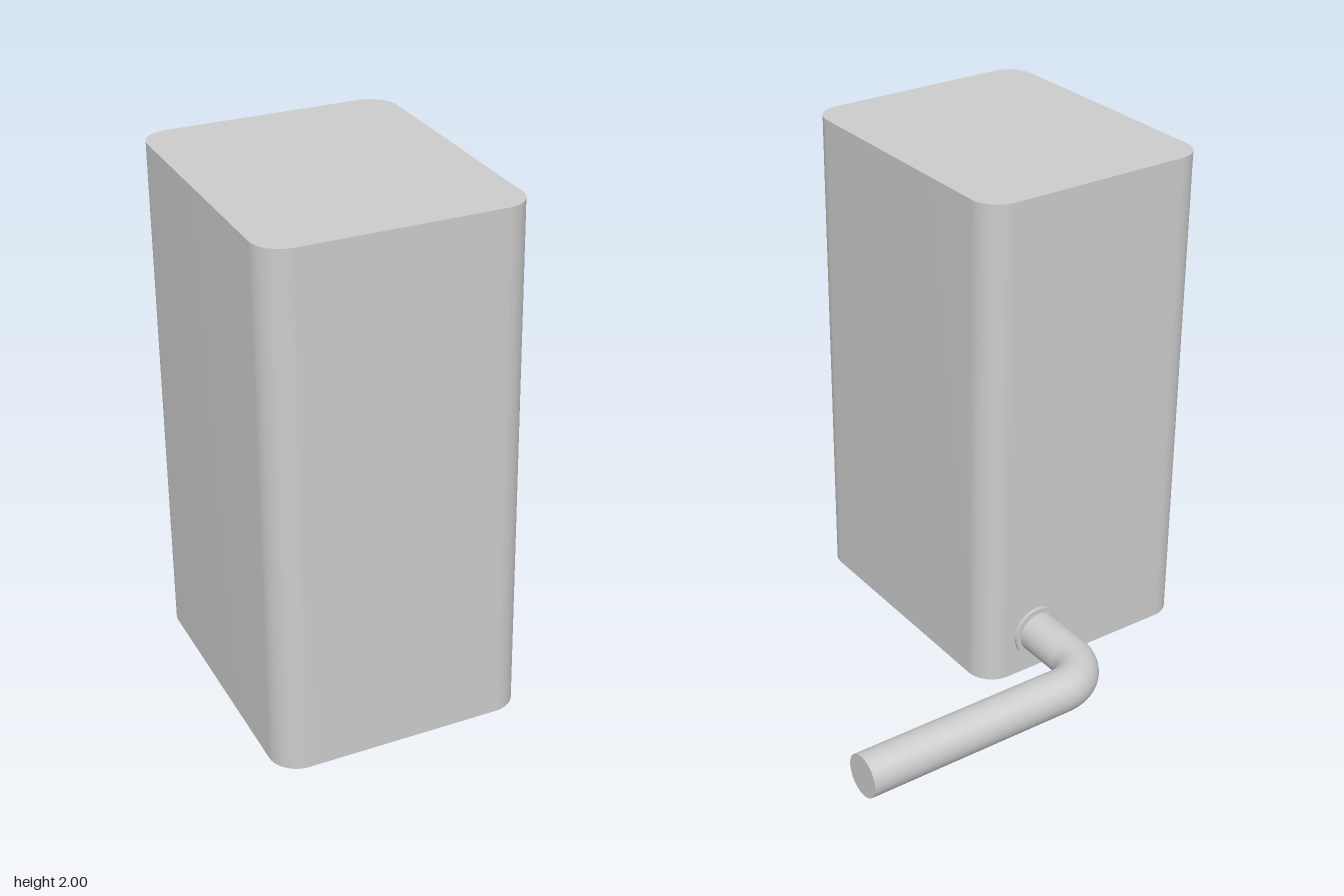
import * as THREE from 'three';
import { toCreasedNormals } from 'three/addons/utils/BufferGeometryUtils.js';

const material = new THREE.MeshStandardMaterial({ color: 0xcccccc });

// Body footprint and height
const LEFT = -0.876, RIGHT = 0.09, BACK = -0.365, FRONT = 0.812, HEIGHT = 2, CORNER = 0.11;
// Pipe: radius, height of its axis, bend radius, axis positions and end
const PIPE_R = 0.083, PIPE_Y = 0.17, BEND_R = 0.16, OUTLET_X = -0.155, RUN_Z = -0.732, END_X = 0.876;

function addMesh(group, name, geometry) {
  const mesh = new THREE.Mesh(geometry, material);
  mesh.name = name;
  group.add(mesh);
  return mesh;
}

function roundedRect(x0, y0, x1, y1, r) {
  const s = new THREE.Shape();
  s.moveTo(x0 + r, y0);
  s.lineTo(x1 - r, y0);
  s.absarc(x1 - r, y0 + r, r, -Math.PI / 2, 0);
  s.lineTo(x1, y1 - r);
  s.absarc(x1 - r, y1 - r, r, 0, Math.PI / 2);
  s.lineTo(x0 + r, y1);
  s.absarc(x0 + r, y1 - r, r, Math.PI / 2, Math.PI);
  s.lineTo(x0, y0 + r);
  s.absarc(x0 + r, y0 + r, r, Math.PI, Math.PI * 1.5);
  return s;
}

// Cylinder running along z or x
function rodZ(radius, z0, z1, x) {
  return new THREE.CylinderGeometry(radius, radius, Math.abs(z1 - z0), 48)
    .rotateX(Math.PI / 2).translate(x, PIPE_Y, (z0 + z1) / 2);
}
function rodX(radius, x0, x1, z) {
  return new THREE.CylinderGeometry(radius, radius, Math.abs(x1 - x0), 48)
    .rotateZ(Math.PI / 2).translate((x0 + x1) / 2, PIPE_Y, z);
}

export function createModel() {
  const model = new THREE.Group();
  model.name = 'tankWithPipe';

  // Tall tank with rounded vertical edges
  const footprint = roundedRect(LEFT, -FRONT, RIGHT, -BACK, CORNER);
  const tank = new THREE.ExtrudeGeometry(footprint, { depth: HEIGHT, bevelEnabled: false, curveSegments: 12 })
    .rotateX(-Math.PI / 2);
  addMesh(model, 'tank', toCreasedNormals(tank, Math.PI / 6));

  // Thin collar where the pipe leaves the back wall
  addMesh(model, 'collar', rodZ(0.104, BACK + 0.01, BACK - 0.013, OUTLET_X));

  // Pipe: outlet, quarter bend and long side run
  const pipe = new THREE.Group();
  pipe.name = 'pipe';
  const bendX = OUTLET_X + BEND_R, bendZ = RUN_Z + BEND_R;
  addMesh(pipe, 'outlet', rodZ(PIPE_R, BACK + 0.01, bendZ, OUTLET_X));
  addMesh(pipe, 'bend', new THREE.TorusGeometry(BEND_R, PIPE_R, 48, 24, Math.PI / 2)
    .rotateZ(Math.PI / 2).rotateX(-Math.PI / 2).translate(bendX, PIPE_Y, bendZ));
  addMesh(pipe, 'sideRun', rodX(PIPE_R, bendX, END_X, RUN_Z));
  model.add(pipe);

  return model;
}
